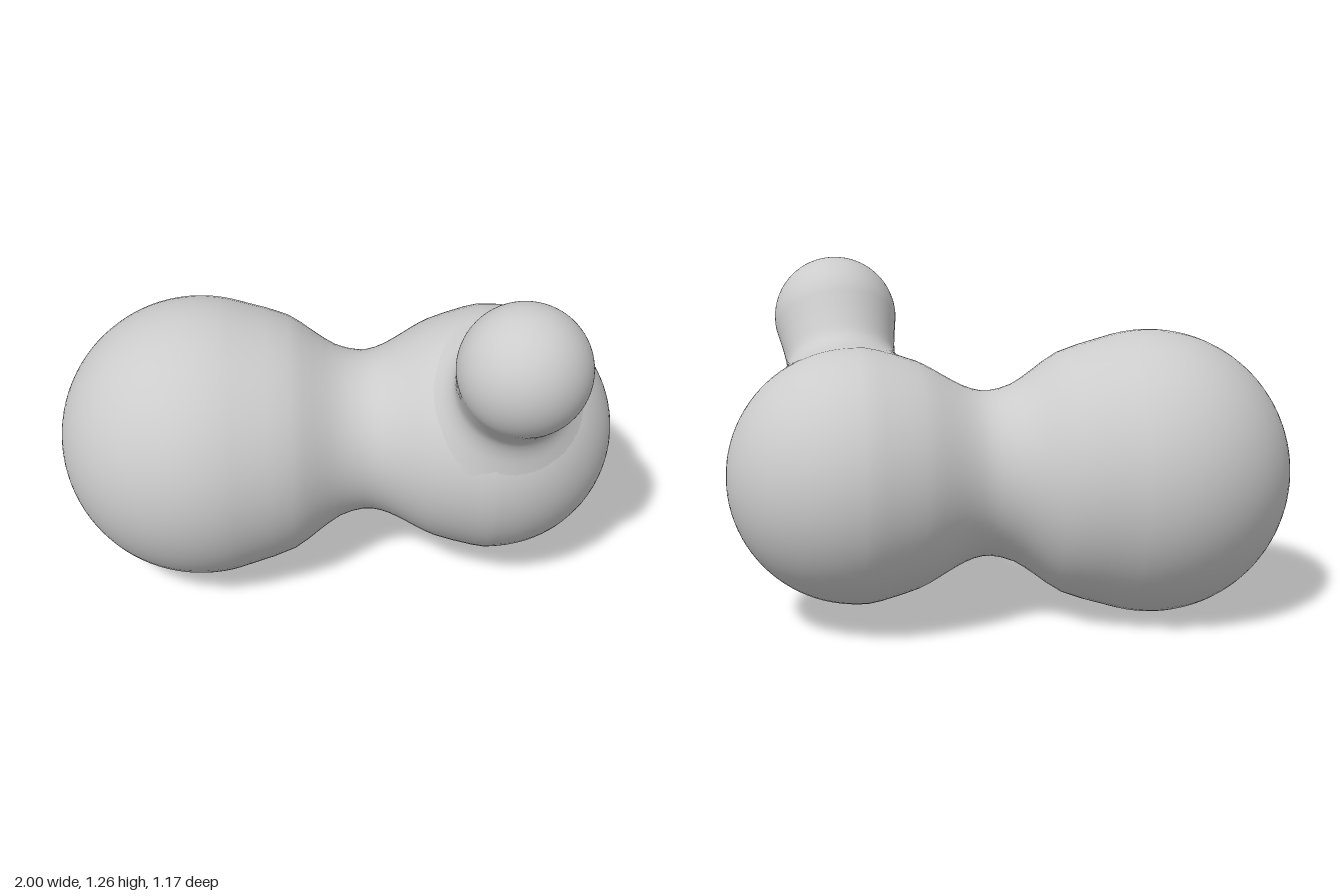
import * as THREE from 'three';

const material = new THREE.MeshStandardMaterial({ color: 0xcccccc });

// Profile points [radius, height] along a circular arc; angle 0 is the bottom pole, PI the top pole
function arc(radius, height, from, to, steps) {
  return Array.from({ length: steps + 1 }, (_, i) => {
    const a = from + ((to - from) * i) / steps;
    return new THREE.Vector2(Math.max(0, radius * Math.sin(a)), height - radius * Math.cos(a));
  });
}

// Smooth solid of revolution whose axis runs from one point towards another
function lobe(name, profile, from, to) {
  const points = new THREE.SplineCurve(profile).getPoints(72);
  const mesh = new THREE.Mesh(new THREE.LatheGeometry(points, 64), material);
  mesh.name = name;
  mesh.position.copy(from);
  mesh.quaternion.setFromUnitVectors(new THREE.Vector3(0, 1, 0), to.clone().sub(from).normalize());
  return mesh;
}

export function createModel() {
  const group = new THREE.Group();
  group.name = 'blob';

  const large = new THREE.Vector3(-0.492, 0.512, -0.08);
  const medium = new THREE.Vector3(0.555, 0.53, -0.067);
  const small = new THREE.Vector3(0.588, 1.042, 0.363);
  const span = large.distanceTo(medium);
  const reach = medium.distanceTo(small);

  // Two large lobes joined by a soft waist
  const waist = [
    [0.432, 0.32], [0.372, 0.41], [0.316, 0.495], [0.293, 0.58],
    [0.301, 0.645], [0.33, 0.71], [0.37, 0.78], [0.403, 0.85],
  ].map(([r, t]) => new THREE.Vector2(r, t));
  group.add(lobe('body', [
    ...arc(0.508, 0, 0, Math.PI * 0.6, 14),
    ...waist,
    ...arc(0.446, span, Math.PI * 0.46, Math.PI, 12),
  ], large, medium));

  // Small knob rising from the medium lobe with a flared root
  const root = [
    [0.3, 0.325], [0.262, 0.364], [0.226, 0.405], [0.204, 0.445], [0.197, 0.485], [0.204, 0.55],
  ].map(([r, t]) => new THREE.Vector2(r, t));
  group.add(lobe('knob', [
    ...root,
    ...arc(0.222, reach, Math.PI * 0.42, Math.PI, 10),
  ], medium, small));

  return group;
}
